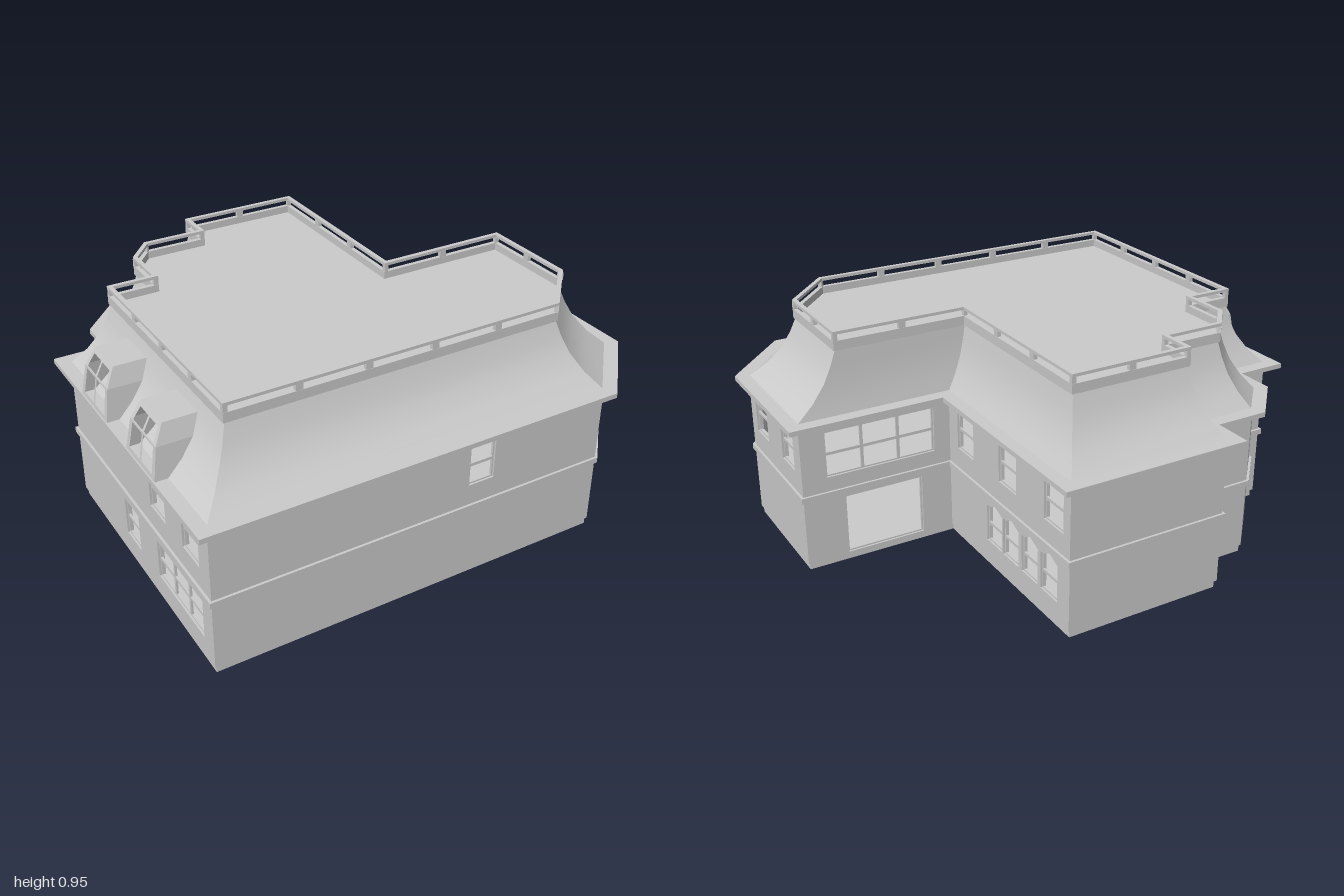
import * as THREE from 'three';

const mat = new THREE.MeshStandardMaterial({ color: 0xcccccc, side: THREE.DoubleSide });

// Plan outlines [x, z], in matching order from the front left corner of the plan
const WALL = [[-0.95, 0.86], [0.70, 0.86], [0.95, 0.59], [0.95, 0.04], [0.32, 0.04], [0.32, -0.86],
  [-0.35, -0.86], [-0.35, -0.70], [-0.60, -0.70], [-0.74, -0.55], [-0.74, -0.36], [-0.95, -0.36]];
const TOP = [[-0.79, 0.69], [0.575, 0.69], [0.765, 0.485], [0.765, 0.08], [0.22, 0.08], [0.22, -0.705],
  [-0.265, -0.705], [-0.265, -0.57], [-0.515, -0.57], [-0.605, -0.465], [-0.605, -0.27], [-0.79, -0.27]];

// Moves every side of an outline outward by d, with mitred corners
function offset(pts, d) {
  const n = pts.length;
  const normal = (a, b) => {
    const l = Math.hypot(b[0] - a[0], b[1] - a[1]);
    return [-(b[1] - a[1]) / l, (b[0] - a[0]) / l];
  };
  return pts.map((p, i) => {
    const m = normal(pts[(i + n - 1) % n], p), k = normal(p, pts[(i + 1) % n]);
    const s = d / (1 + m[0] * k[0] + m[1] * k[1]);
    return [p[0] + (m[0] + k[0]) * s, p[1] + (m[1] + k[1]) * s];
  });
}

const poly = (pts, Type = THREE.Shape) => new Type(pts.map(([x, y]) => new THREE.Vector2(x, y)));
const extrude = (shape, depth) => new THREE.ExtrudeGeometry(shape, { depth, bevelEnabled: false });

function add(group, name, geometry) {
  const mesh = new THREE.Mesh(geometry, mat);
  mesh.name = name;
  group.add(mesh);
  return mesh;
}

// Horizontal slab of a plan outline, optionally a ring
function slab(group, name, pts, y0, y1, inner) {
  const flip = (list) => list.map(([x, z]) => [x, -z]);
  const shape = poly(flip(pts));
  if (inner) shape.holes.push(poly(flip(inner), THREE.Path));
  return add(group, name, extrude(shape, y1 - y0).rotateX(-Math.PI / 2).translate(0, y0, 0));
}

// Window outline, with a gently peaked head if peak > 0
function opening(u0, u1, y0, y1, peak = 0) {
  const pts = [[u0, y0], [u1, y0], [u1, y1]];
  if (peak) pts.push([(u0 + u1) / 2, y1 + peak]);
  return [...pts, [u0, y1]];
}

// Window frame with a grid of open panes
function frameShape({ u0, u1, y0, y1, cols, rows, peak }) {
  const shape = poly(opening(u0, u1, y0, y1, peak));
  const e = 0.006, bar = 0.012;
  const w = (u1 - u0 - 2 * e - (cols - 1) * bar) / cols;
  const h = (y1 - y0 - 2 * e - (rows - 1) * bar) / rows;
  for (let c = 0; c < cols; c++) {
    for (let r = 0; r < rows; r++) {
      const u = u0 + e + c * (w + bar), y = y0 + e + r * (h + bar);
      shape.holes.push(poly(opening(u, u + w, y, y + h, r === rows - 1 ? peak : 0), THREE.Path));
    }
  }
  return shape;
}

// Openings per wall, measured along the wall from its first corner
const win = (u0, u1, y0, y1, cols = 1, rows = 2, peak = 0) => ({ u0, u1, y0, y1, cols, rows, peak });
const upper = (u) => win(u, u + 0.13, 0.41, 0.575);
const OPENINGS = {
  0: [win(1.04, 1.15, 0.41, 0.575)],
  1: [win(0.008, 0.355, 0.11, 0.27, 4)],
  2: [upper(0.06), upper(0.35)],
  3: [win(0.10, 0.56, 0.385, 0.575, 3), win(0.17, 0.5, 0.035, 0.285, 1, 1)],
  4: [upper(0.07), upper(0.4), upper(0.725),
    ...[0.305, 0.43, 0.57, 0.705].map((u) => win(u, u + 0.115, 0.11, 0.262, 1, 2, 0.024))],
  11: [upper(0.74), upper(1.01), win(0.47, 0.6, 0.11, 0.27), win(0.77, 1.145, 0.11, 0.27, 3)],
};

function buildWalls(group) {
  const t = 0.025;
  WALL.forEach((a, i) => {
    const b = WALL[(i + 1) % WALL.length];
    const len = Math.hypot(b[0] - a[0], b[1] - a[1]);
    const side = new THREE.Group();
    side.name = 'wallSide' + i;
    side.position.set(a[0], 0, a[1]);
    side.rotation.y = Math.atan2(a[1] - b[1], b[0] - a[0]);
    const shape = poly(opening(0, len, 0.03, 0.61));
    for (const o of OPENINGS[i] || []) {
      shape.holes.push(poly(opening(o.u0, o.u1, o.y0, o.y1, o.peak), THREE.Path));
      add(side, 'windowFrame', extrude(frameShape(o), 0.008).translate(0, 0, -0.016));
    }
    add(side, 'wall', extrude(shape, t).translate(0, 0, -t));
    group.add(side);
  });
}

// Concave mansard: shallow at the eaves, steep above
function buildRoof(group) {
  const base = offset(WALL, -0.003);
  const rows = [[0, 0.63], [0.38, 0.69], [0.68, 0.757], [0.86, 0.82], [1, 0.885]];
  const n = base.length;
  for (let i = 0; i < n; i++) {
    const j = (i + 1) % n, pos = [], index = [];
    rows.forEach(([f, y], r) => {
      for (const k of [i, j]) {
        pos.push(base[k][0] + (TOP[k][0] - base[k][0]) * f, y, base[k][1] + (TOP[k][1] - base[k][1]) * f);
      }
      const q = r * 2;
      if (r < rows.length - 1) index.push(q, q + 1, q + 3, q, q + 3, q + 2);
    });
    const g = new THREE.BufferGeometry();
    g.setAttribute('position', new THREE.Float32BufferAttribute(pos, 3));
    g.setIndex(index);
    g.computeVertexNormals();
    add(group, 'mansardSlope', g);
  }
}

// Maps a unit-square shape onto four corners: low left, low right, high right, high left
function panel(group, name, corners, shape = poly(opening(0, 1, 0, 1))) {
  const [a, b, c, d] = corners.map((p) => new THREE.Vector3(...p));
  const g = new THREE.ShapeGeometry(shape);
  const p = g.attributes.position;
  for (let i = 0; i < p.count; i++) {
    const u = p.getX(i), v = p.getY(i);
    const lo = a.clone().lerp(b, u), hi = d.clone().lerp(c, u);
    lo.lerp(hi, v);
    p.setXYZ(i, lo.x, lo.y, lo.z);
  }
  g.computeVertexNormals();
  add(group, name, g);
}

function buildDormer(z) {
  const g = new THREE.Group();
  g.name = 'dormer';
  g.position.z = z;
  // Cross-sections: front x, back x, height, half width
  const rows = [[-0.995, -0.93, 0.63, 0.122], [-0.975, -0.83, 0.757, 0.108], [-0.938, -0.785, 0.83, 0.085]];
  for (let r = 0; r < 2; r++) {
    const [x0, b0, y0, w0] = rows[r], [x1, b1, y1, w1] = rows[r + 1];
    const front = poly(opening(0, 1, 0, 1));
    for (const u of [0.1, 0.53]) {
      front.holes.push(poly(opening(u, u + 0.37, r ? 0.06 : 0.15, r ? 0.75 : 0.94), THREE.Path));
    }
    panel(g, 'dormerWindow', [[x0, y0, -w0], [x0, y0, w0], [x1, y1, w1], [x1, y1, -w1]], front);
    panel(g, 'dormerSide', [[b0, y0, -w0], [x0, y0, -w0], [x1, y1, -w1], [b1, y1, -w1]]);
    panel(g, 'dormerSide', [[x0, y0, w0], [b0, y0, w0], [b1, y1, w1], [x1, y1, w1]]);
  }
  const [x, b, y, w] = rows[2];
  panel(g, 'dormerTop', [[x, y, -w], [x, y, w], [b, y, w], [b, y, -w]]);
  return g;
}

// Low kerb, posts and top rail around the flat roof
function buildParapet(group) {
  const outer = offset(TOP, 0.01), inner = offset(TOP, -0.008), mid = offset(TOP, 0.001);
  slab(group, 'parapetKerb', outer, 0.88, 0.918, inner);
  slab(group, 'parapetRail', outer, 0.943, 0.955, inner);
  mid.forEach((a, i) => {
    const b = mid[(i + 1) % mid.length];
    const dx = b[0] - a[0], dz = b[1] - a[1];
    const count = Math.max(1, Math.round(Math.hypot(dx, dz) / 0.25));
    for (let k = 0; k < count; k++) {
      const post = add(group, 'parapetPost', new THREE.BoxGeometry(k ? 0.028 : 0.018, 0.03, 0.016));
      post.position.set(a[0] + dx * k / count, 0.93, a[1] + dz * k / count);
      post.rotation.y = Math.atan2(-dz, dx);
    }
  });
}

export function createModel() {
  const group = new THREE.Group();
  group.name = 'house';
  slab(group, 'plinth', offset(WALL, -0.008), 0, 0.03);
  buildWalls(group);
  slab(group, 'floorBand', offset(WALL, 0.01), 0.302, 0.325);
  slab(group, 'eaves', offset(WALL, 0.05), 0.612, 0.632);
  buildRoof(group);
  slab(group, 'flatRoof', TOP, 0.875, 0.888);
  buildParapet(group);
  for (const z of [0.01, 0.435]) group.add(buildDormer(z));
  return group;
}
